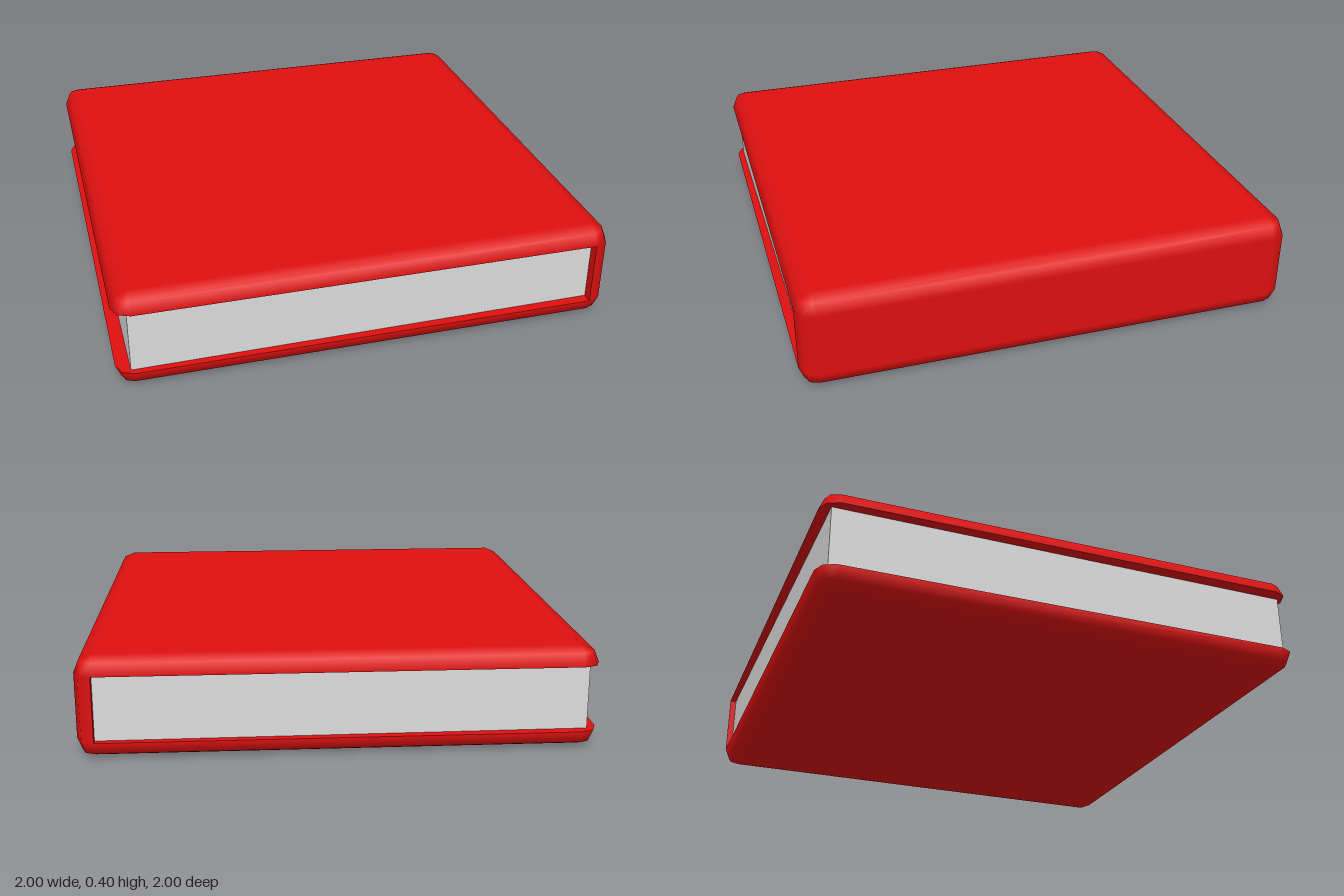
import * as THREE from 'three';

const R = 0.07;          // edge rounding, also the cover thickness
const HEIGHT = 0.4;
const INNER = 1 - R;     // centre of the rounded corners

// Point and normal on the rounded outline; corner 0..3, turn and tilt in 45 degree steps
function rimPoint(corner, step, tilt) {
  const a = corner * Math.PI / 2 + step * Math.PI / 4;
  const t = tilt * Math.PI / 4;
  const mid = corner * Math.PI / 2 + Math.PI / 4;
  const n = [Math.cos(t) * Math.cos(a), Math.sin(t), Math.cos(t) * Math.sin(a)];
  const p = [Math.sign(Math.cos(mid)) * INNER + R * n[0], R * n[1], Math.sign(Math.sin(mid)) * INNER + R * n[2]];
  return { p, n };
}

function ring(corners, tilt) {
  return corners.flatMap((c) => [0, 1, 2].map((s) => rimPoint(c, s, tilt)));
}

function makeGeometry(points, index) {
  const g = new THREE.BufferGeometry();
  g.setAttribute('position', new THREE.Float32BufferAttribute(points.flatMap((v) => v.p), 3));
  g.setAttribute('normal', new THREE.Float32BufferAttribute(points.flatMap((v) => v.n), 3));
  g.setIndex(index);
  return g;
}

// Quads between two neighbouring rings of n points
function band(index, lower, upper, n, closed) {
  for (let i = 0; i < (closed ? n : n - 1); i++) {
    const j = (i + 1) % n;
    index.push(lower + i, upper + i, lower + j, upper + i, upper + j, lower + j);
  }
}

// Board with rounded outer edges and a flat inner face
function coverGeometry() {
  const all = [0, 1, 2, 3];
  const rim = ring(all, 0);
  const n = rim.length;
  const inside = rim.map((v) => ({ p: v.p, n: [0, -1, 0] }));
  const points = [...rim, ...ring(all, 1), ...ring(all, 2), ...inside];
  const index = [];
  band(index, 0, n, n, true);
  band(index, n, 2 * n, n, true);
  for (let i = 1; i < n - 1; i++) {
    index.push(2 * n, 2 * n + i + 1, 2 * n + i);
    index.push(3 * n, 3 * n + i, 3 * n + i + 1);
  }
  return makeGeometry(points, index);
}

// Upright wall joining the covers along +x
function spineGeometry() {
  const low = ring([3, 0], 0).map((v) => ({ p: [v.p[0], R, v.p[2]], n: v.n }));
  const high = low.map((v) => ({ p: [v.p[0], HEIGHT - R, v.p[2]], n: v.n }));
  const index = [];
  band(index, 0, low.length, low.length, false);
  return makeGeometry([...low, ...high], index);
}

export function createModel() {
  const red = new THREE.MeshStandardMaterial({ color: 0xdf1010 });
  red.name = 'coverRed';
  const paper = new THREE.MeshStandardMaterial({ color: 0xdcdcdc });
  paper.name = 'paperGrey';

  const book = new THREE.Group();
  book.name = 'book';
  const add = (name, geometry, material) => {
    const mesh = new THREE.Mesh(geometry, material);
    mesh.name = name;
    book.add(mesh);
    return mesh;
  };

  // Covers
  const board = coverGeometry();
  add('topCover', board, red).position.y = HEIGHT - R;
  const bottom = add('bottomCover', board, red);
  bottom.rotation.x = Math.PI;
  bottom.position.y = R;

  // Spine and its inner face
  add('spine', spineGeometry(), red);
  const lining = add('spineLining', new THREE.PlaneGeometry(2, HEIGHT - 2 * R), red);
  lining.rotation.y = -Math.PI / 2;
  lining.position.set(INNER, HEIGHT / 2, 0);

  // Page block, sitting slightly askew inside the covers
  const pages = add('pages', new THREE.BoxGeometry(1.89, HEIGHT - 2 * R, 1.93), paper);
  pages.position.set(-0.0075, HEIGHT / 2, 0);
  pages.rotation.y = 0.008;

  return book;
}
